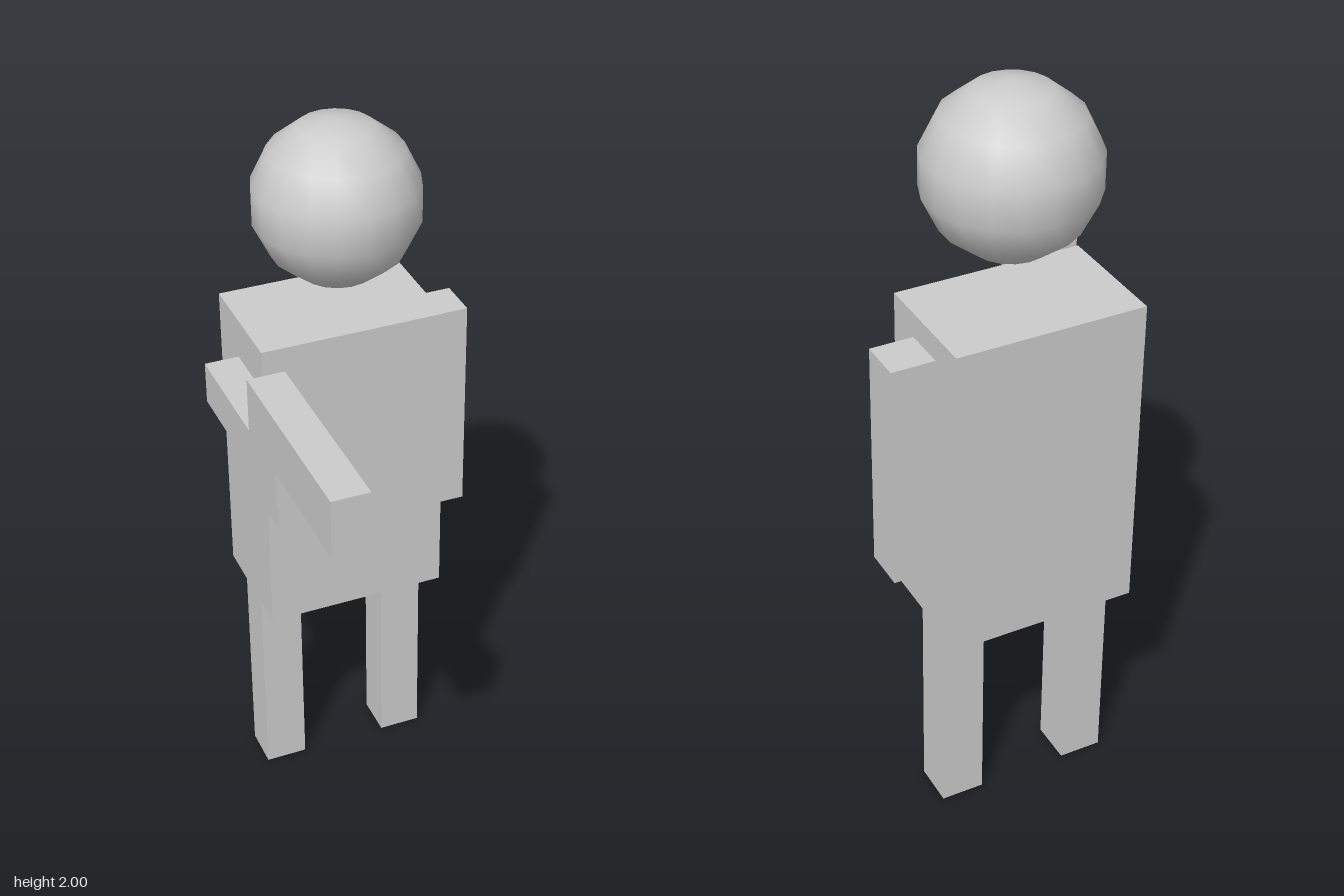
import * as THREE from 'three';

const material = new THREE.MeshStandardMaterial({ color: 0xcccccc });

// Box given by its lower and upper limits on each axis
function box(name, [x0, x1], [y0, y1], [z0, z1]) {
  const mesh = new THREE.Mesh(new THREE.BoxGeometry(x1 - x0, y1 - y0, z1 - z0), material);
  mesh.position.set((x0 + x1) / 2, (y0 + y1) / 2, (z0 + z1) / 2);
  mesh.name = name;
  return mesh;
}

export function createModel() {
  const model = new THREE.Group();
  model.name = 'figure';
  const limbZ = [-0.412, -0.296];

  // Floating head, with a vertex column facing forward
  const head = new THREE.Mesh(new THREE.SphereGeometry(0.22, 18, 7).rotateY(Math.PI / 2), material);
  head.name = 'head';
  head.position.set(-0.007, 1.78, -0.305);
  model.add(head);

  // Body and limbs
  model.add(
    box('torso', [-0.258, 0.24], [0.602, 1.457], [-0.515, -0.194]),
    box('leftLeg', [0.106, 0.222], [0, 0.602], limbZ),
    box('rightLeg', [-0.254, -0.138], [0, 0.602], limbZ),
    box('leftArm', [0.238, 0.354], [0.783, 1.392], limbZ),
    box('rightArm', [-0.35, -0.23], [1.23, 1.344], [-0.376, 0.141])
  );

  // Held gun: barrel above the hand, grip below it
  const gun = new THREE.Group();
  gun.name = 'gun';
  gun.add(
    box('gunBarrel', [-0.355, -0.257], [1.344, 1.5], [-0.026, 0.52]),
    box('gunGrip', [-0.335, -0.28], [1.143, 1.25], [0.018, 0.11])
  );
  model.add(gun);

  return model;
}
